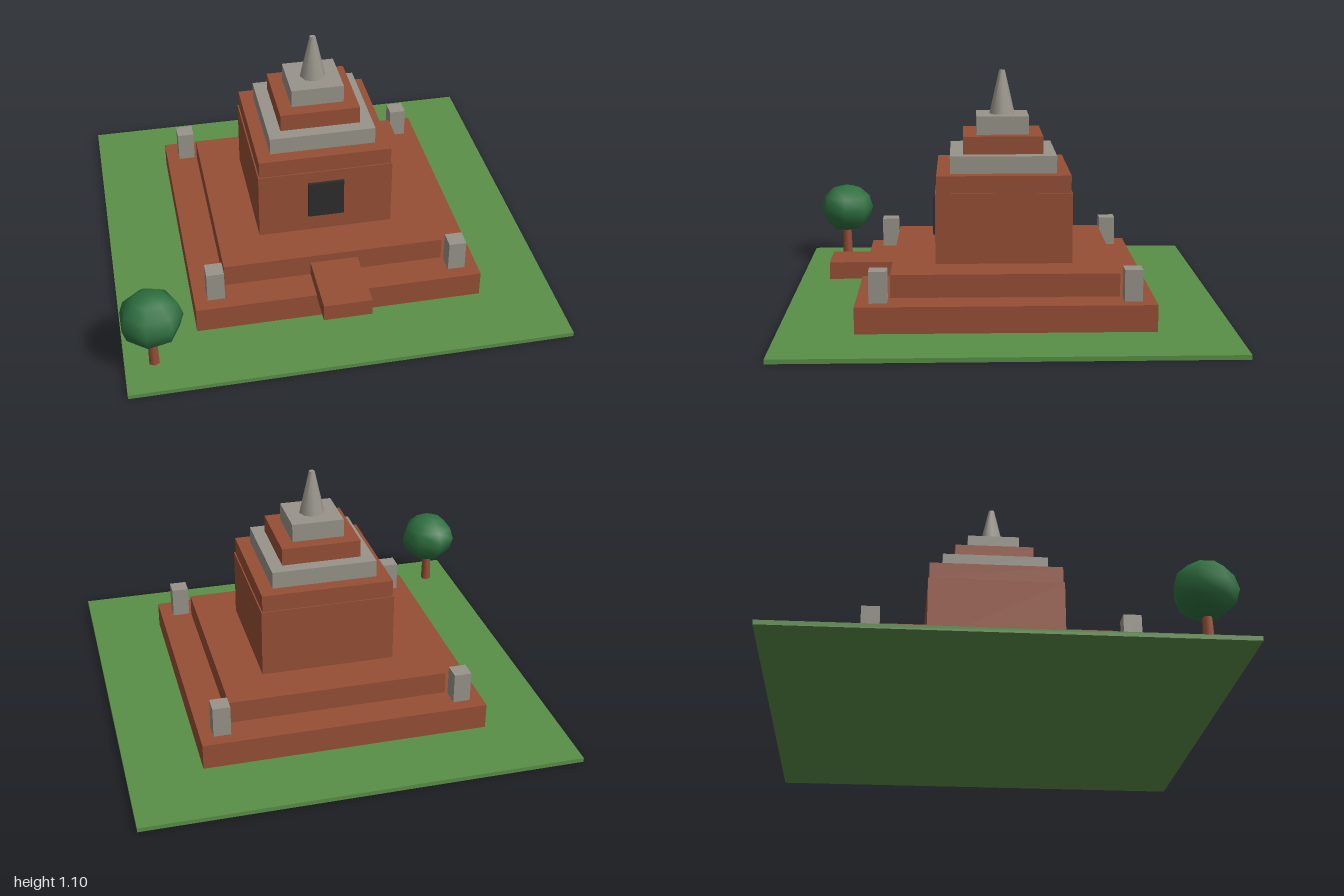
import * as THREE from 'three';

const material = (name, color) => {
  const m = new THREE.MeshStandardMaterial({ color });
  m.name = name;
  return m;
};

export function createModel() {
  const group = new THREE.Group();
  group.name = 'steppedTemple';
  const grass = material('grass', 0x5a8f47);
  const brick = material('brick', 0x964f36);
  const stone = material('stone', 0x98948a);
  const dark = material('doorDark', 0x2d2d2d);
  const leaf = material('leaf', 0x2f7040);

  const add = (name, geometry, mat, x, y, z) => {
    const mesh = new THREE.Mesh(geometry, mat);
    mesh.name = name;
    mesh.position.set(x, y, z);
    group.add(mesh);
    return mesh;
  };
  // Box given by its size, bottom and top heights, and centre
  const block = (name, mat, w, d, y0, y1, x = 0, z = 0) =>
    add(name, new THREE.BoxGeometry(w, y1 - y0, d), mat, x, (y0 + y1) / 2, z);

  block('ground', grass, 2, 2, 0, 0.02);

  // Square tiers from the plinth up to the cap: half width, bottom, top
  const tiers = [
    ['plinth', brick, 0.66, 0.02, 0.14],
    ['terrace', brick, 0.51, 0.14, 0.245],
    ['sanctuary', brick, 0.313, 0.245, 0.57],
    ['lowerRoof', brick, 0.307, 0.57, 0.65],
    ['lowerStoneRoof', stone, 0.245, 0.65, 0.73],
    ['upperRoof', brick, 0.185, 0.73, 0.812],
    ['stoneCap', stone, 0.122, 0.812, 0.897],
  ];
  for (const [name, mat, half, y0, y1] of tiers) block(name, mat, half * 2, half * 2, y0, y1);

  // Spire, entrance step and doorway
  add('spire', new THREE.CylinderGeometry(0.014, 0.06, 0.205, 8), stone, 0, 0.9985, 0);
  block('entranceStep', brick, 0.22, 0.325, 0.127, 0.207, 0, 0.652);
  block('doorway', dark, 0.168, 0.014, 0.33, 0.513, 0, 0.32);

  // Corner posts
  for (const x of [-0.56, 0.56])
    for (const z of [-0.56, 0.56]) block('cornerPost', stone, 0.08, 0.08, 0.14, 0.283, x, z);

  // Tree
  add('treeTrunk', new THREE.CylinderGeometry(0.02, 0.026, 0.18, 6), brick, -0.868, 0.11, 0.815);
  const crown = add('treeCrown', new THREE.SphereGeometry(0.142, 7, 6), leaf, -0.868, 0.275, 0.815);
  crown.scale.y = 0.89;
  crown.rotation.y = Math.PI;

  return group;
}
